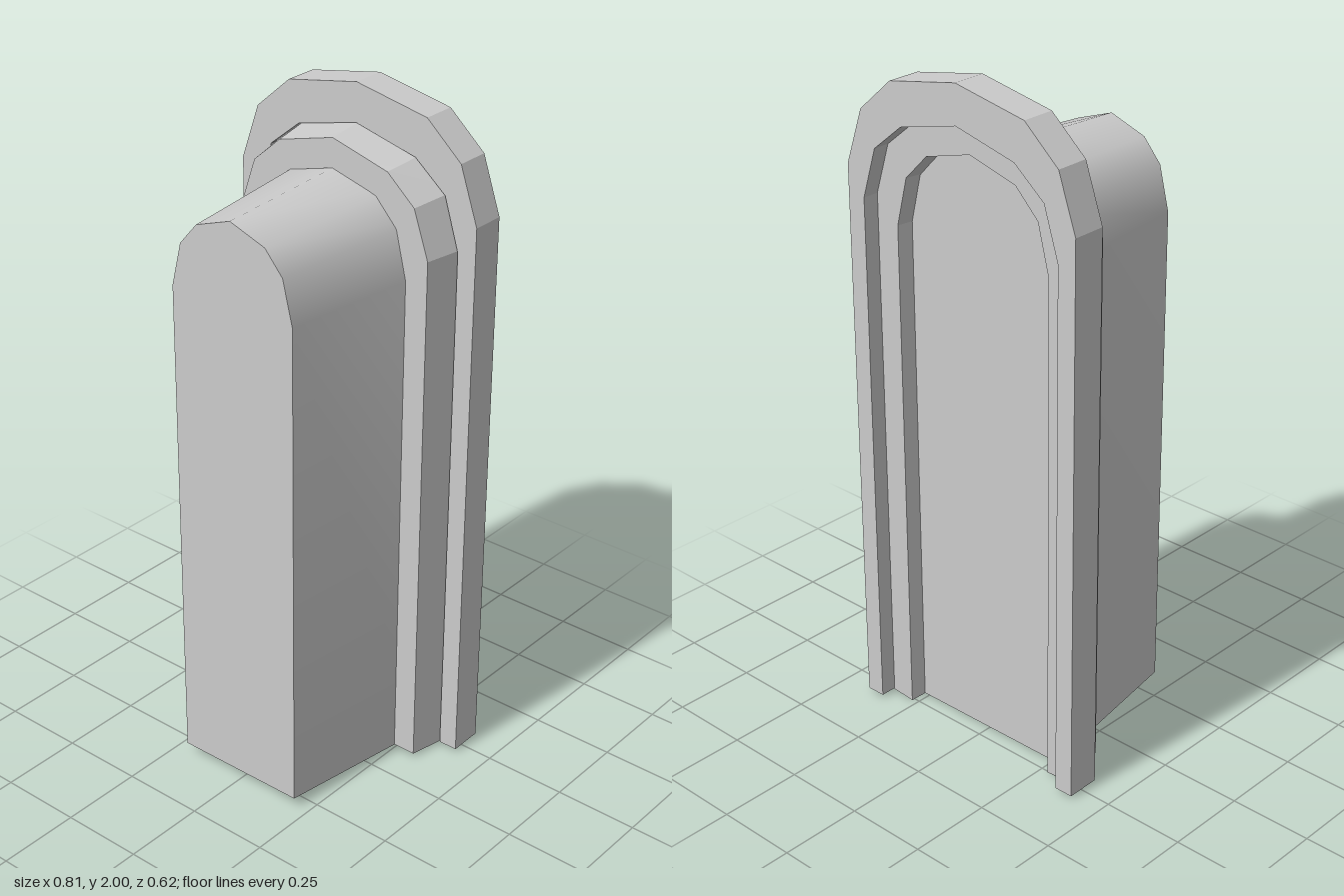
import * as THREE from 'three';
import { toCreasedNormals } from 'three/addons/utils/BufferGeometryUtils.js';

// Full arch outline at depth z: up the +x side, over the top, down the -x side
function arch(z, half) {
  const right = half.map(([x, y]) => new THREE.Vector3(x, y, z));
  const left = half.slice(0, -1).reverse().map(([x, y]) => new THREE.Vector3(-x, y, z));
  return [...right, ...left];
}

function fan(out, pts) {
  for (let i = 1; i < pts.length - 1; i++) out.push(pts[0], pts[i], pts[i + 1]);
}

function strip(out, a, b, closed) {
  const n = a.length;
  for (let j = 0; j < (closed ? n : n - 1); j++) {
    const k = (j + 1) % n;
    out.push(a[j], b[j], a[k], a[k], b[j], b[k]);
  }
}

// Solid between a front outline and a back outline
function solid(front, back) {
  const out = [];
  fan(out, front);
  strip(out, front, back, true);
  fan(out, [...back].reverse());
  return new THREE.BufferGeometry().setFromPoints(out);
}

// Arched band with four corner outlines: outer front, outer back, inner back, inner front
function band(corners) {
  const out = [];
  corners.forEach((c, i) => strip(out, c, corners[(i + 1) % 4], false));
  fan(out, corners.map((c) => c[0]).reverse());
  fan(out, corners.map((c) => c[c.length - 1]));
  return new THREE.BufferGeometry().setFromPoints(out);
}

export function createModel() {
  const model = new THREE.Group();
  model.name = 'archedNiche';
  const material = new THREE.MeshStandardMaterial({ color: 0xcccccc });

  const add = (name, geometry, crease) => {
    const mesh = new THREE.Mesh(toCreasedNormals(geometry, crease), material);
    mesh.name = name;
    model.add(mesh);
  };

  // Half outlines, from the bottom corner to the apex
  const blockFront = [[0.207, 0.035], [0.207, 1.53], [0.175, 1.66], [0.117, 1.727], [0, 1.768]];
  const blockMid = [[0.252, 0.013], [0.252, 1.53], [0.217, 1.67], [0.148, 1.746], [0, 1.787]];
  const blockBack = [[0.264, 0.006], [0.264, 1.53], [0.229, 1.672], [0.156, 1.75], [0, 1.792]];
  const opening = [[0.272, 0], [0.272, 1.53], [0.235, 1.675], [0.158, 1.753], [0, 1.796]];
  const stepFront = [[0.323, 0.012], [0.323, 1.605], [0.275, 1.744], [0.185, 1.823], [0, 1.873]];
  const stepBack = [[0.347, 0.004], [0.347, 1.605], [0.3, 1.755], [0.2, 1.837], [0, 1.886]];
  const rim = [[0.405, 0.01], [0.405, 1.69], [0.348, 1.855], [0.235, 1.955], [0, 2]];
  const rimInner = stepBack.map(([x, y], i) => [x, i === 0 ? 0.01 : y]);

  // Tapered block; its back face is the recessed panel
  add('taperedBlock', solid(arch(0.307, blockFront), arch(-0.21, blockBack)), 0.75);

  // Sloping step around the block
  add('middleStep', band([
    arch(-0.105, stepFront), arch(-0.257, stepBack.map(([x, y]) => [x * 1.015, y + 0.003])),
    arch(-0.257, opening), arch(-0.105, blockMid),
  ]), 0.2);

  // Outer frame, open at the bottom
  add('outerFrame', band([
    arch(-0.205, rim), arch(-0.307, rim), arch(-0.307, rimInner), arch(-0.205, rimInner),
  ]), 0.2);

  // Slight turn about the vertical axis
  model.children.forEach((mesh) => { mesh.rotation.y = 0.0095; });
  return model;
}
